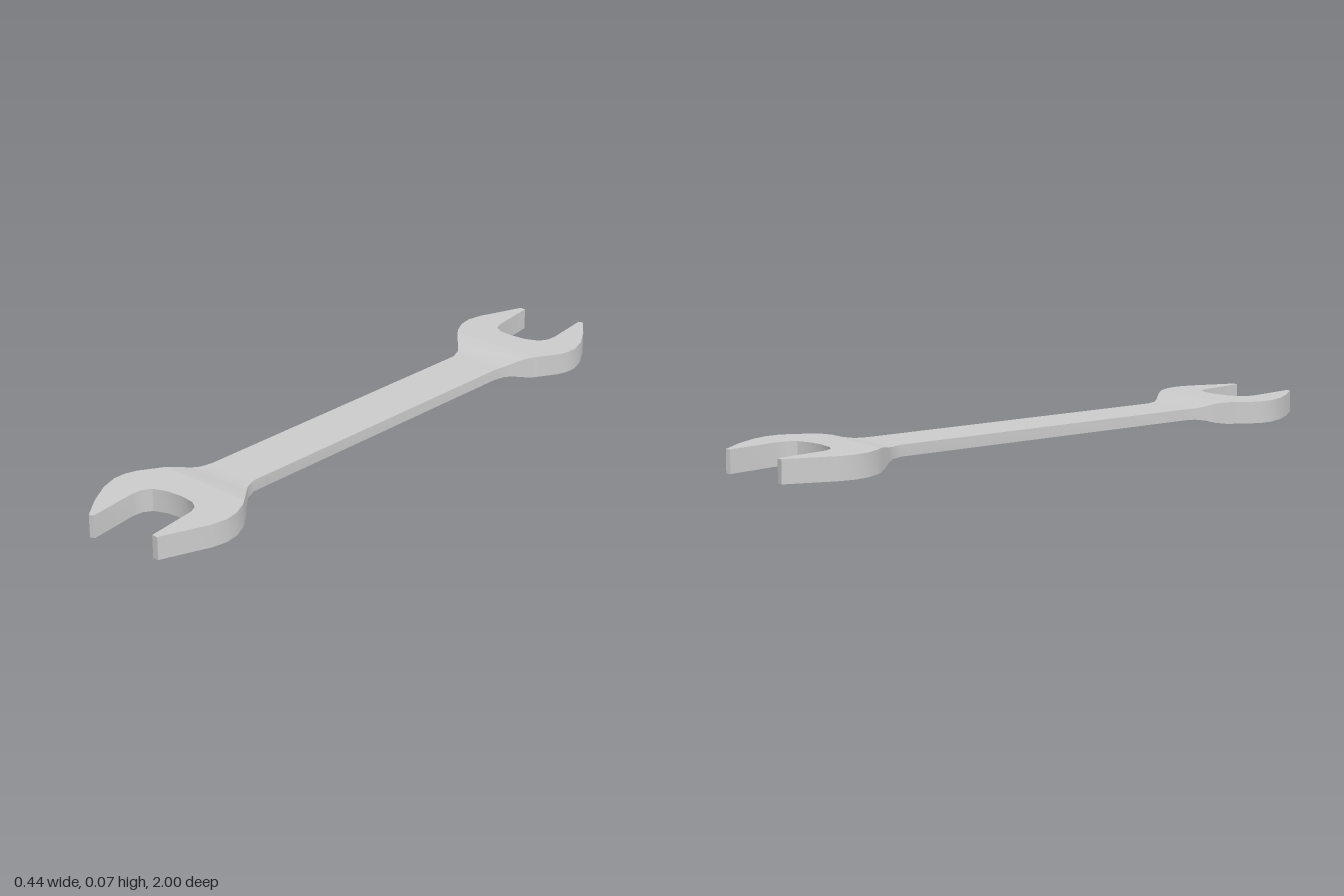
import * as THREE from 'three';
import { toCreasedNormals } from 'three/addons/utils/BufferGeometryUtils.js';

const THICK = 0.068;
const CREASE = 0.6;

// Open jaw: flat plate, outline in (x, z), starting at the neck
function jawGeometry() {
  const outline = [
    [0.177, 0.66], [0.192, 0.68], [0.214, 0.725], [0.222, 0.77], [0.214, 0.82],
    [0.188, 0.89], [0.161, 0.965], [0.142, 0.965],
    [0.118, 0.8], [0.105, 0.776], [0.08, 0.761], [0.03, 0.756], [-0.02, 0.762],
    [-0.06, 0.779], [-0.076, 0.805], [-0.078, 0.84],
    [-0.056, 0.995], [-0.07, 1], [-0.125, 0.93], [-0.168, 0.86], [-0.187, 0.805],
    [-0.187, 0.765], [-0.176, 0.73], [-0.135, 0.66],
  ];
  const shape = new THREE.Shape(outline.map(([x, z]) => new THREE.Vector2(x, z)));
  const g = new THREE.ExtrudeGeometry(shape, { depth: THICK, bevelEnabled: false });
  g.rotateX(Math.PI / 2).translate(0, THICK, 0);
  return toCreasedNormals(g, CREASE);
}

// Handle with flared, thickening necks, lofted along z
function handleGeometry() {
  // z, left x, right x, half thickness
  const neck = [
    [0.53, -0.083, 0.083, 0.017],
    [0.57, -0.09, 0.1, 0.0175],
    [0.6, -0.1, 0.125, 0.022],
    [0.63, -0.115, 0.152, 0.03],
    [0.66, -0.135, 0.177, 0.034],
  ];
  const backNeck = neck.map(([z, l, r, h]) => [-z, -r, -l, h]).reverse();
  const rings = [...backNeck, ...neck].map(([z, l, r, h]) =>
    [[l, -h], [r, -h], [r, h], [l, h]].map(([x, y]) => [x, y + THICK / 2, z]));
  const pos = [];
  for (let i = 0; i < rings.length - 1; i++) {
    for (let k = 0; k < 4; k++) {
      const n = (k + 1) % 4;
      const a = rings[i][k], b = rings[i][n], c = rings[i + 1][n], d = rings[i + 1][k];
      pos.push(...a, ...b, ...c, ...a, ...c, ...d);
    }
  }
  const g = new THREE.BufferGeometry();
  g.setAttribute('position', new THREE.Float32BufferAttribute(pos, 3));
  return toCreasedNormals(g, CREASE);
}

export function createModel() {
  const group = new THREE.Group();
  group.name = 'openEndWrench';
  const steel = new THREE.MeshStandardMaterial({ color: 0xcccccc });

  const handle = new THREE.Mesh(handleGeometry(), steel);
  handle.name = 'handle';
  group.add(handle);

  // The two jaws are the same part turned half around
  const jaw = jawGeometry();
  ['frontJaw', 'backJaw'].forEach((name, i) => {
    const mesh = new THREE.Mesh(jaw, steel);
    mesh.name = name;
    mesh.rotation.y = i * Math.PI;
    group.add(mesh);
  });
  return group;
}
